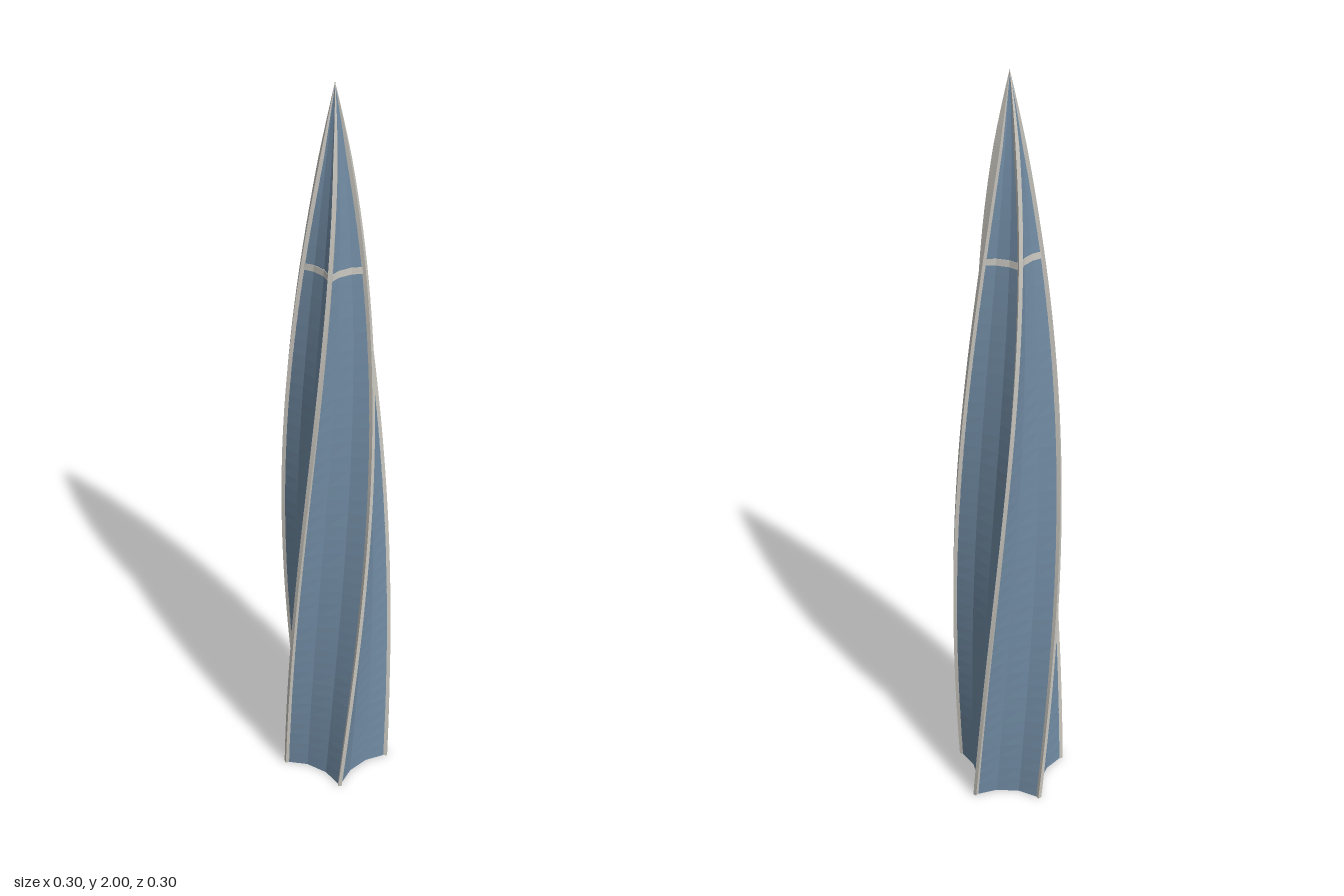
import * as THREE from 'three';

const HEIGHT = 2, BASE_RADIUS = 0.152, SIDES = 5, LEVELS = 48;
const STEP = (Math.PI * 2) / SIDES;

// Plan radius and twist angle at a given height
const radiusAt = (y) => BASE_RADIUS * (1 - Math.pow(y / HEIGHT, 3));
const angleAt = (y) => THREE.MathUtils.degToRad(113 - 37 * y);
const polar = (r, a, y) => [r * Math.cos(a), y, r * Math.sin(a)];

// Skin a stack of closed loops that run from the x axis towards the z axis
function loft(loops) {
  const n = loops[0].length, index = [];
  for (let j = 0; j < loops.length - 1; j++) {
    for (let i = 0; i < n; i++) {
      const a = j * n + i, b = j * n + (i + 1) % n, c = a + n, d = b + n;
      index.push(b, a, c, b, c, d);
    }
  }
  const geometry = new THREE.BufferGeometry();
  geometry.setAttribute('position', new THREE.Float32BufferAttribute(loops.flat(2), 3));
  geometry.setIndex(index);
  geometry.computeVertexNormals();
  return geometry;
}

// Five-pointed star plan with concave, three-facet sides
function starLoop(y, scale = 1) {
  const r = radiusAt(y) * scale, loop = [];
  for (let k = 0; k < SIDES; k++) {
    const a = angleAt(y) + k * STEP;
    loop.push(polar(r, a, y));
    for (const side of [-1, 1]) loop.push(polar(r * 0.69, a + STEP / 2 + side * 0.295, y));
  }
  return loop;
}

// Small rectangular rib section straddling one star point
function ribLoop(y, k) {
  const r = radiusAt(y), a = angleAt(y) + k * STEP;
  const size = Math.min(1, r / 0.04 + 0.1);
  return [[0.002, -1], [0.002, 1], [-0.011, 1], [-0.011, -1]].map(([e, t]) => {
    const rr = r + e * size, w = 0.005 * size * t;
    return [rr * Math.cos(a) - w * Math.sin(a), y, rr * Math.sin(a) + w * Math.cos(a)];
  });
}

export function createModel() {
  const glass = new THREE.MeshStandardMaterial({ color: 0x6f89a1, flatShading: true, side: THREE.DoubleSide });
  glass.name = 'blue glass';
  const trim = new THREE.MeshStandardMaterial({ color: 0xc6c3bc, flatShading: true, side: THREE.DoubleSide });
  trim.name = 'pale metal';

  const group = new THREE.Group();
  group.name = 'twistedTower';
  const add = (name, geometry, material) => {
    const mesh = new THREE.Mesh(geometry, material);
    mesh.name = name;
    group.add(mesh);
  };
  const heights = Array.from({ length: LEVELS + 1 }, (_, i) => (HEIGHT * i) / LEVELS);

  // Twisting facade, open underneath
  add('facade', loft(heights.map((y) => starLoop(y))), glass);

  // Ribs along the star points
  for (let k = 0; k < SIDES; k++) {
    add('edgeRib' + (k + 1), loft(heights.map((y) => ribLoop(y, k))), trim);
  }

  // Thin band around the upper part
  const low = 1.562, high = 1.578;
  add('upperBand', loft([
    starLoop(low, 0.99), starLoop(low, 1.025), starLoop(high, 1.025), starLoop(high, 0.99),
  ]), trim);

  return group;
}
